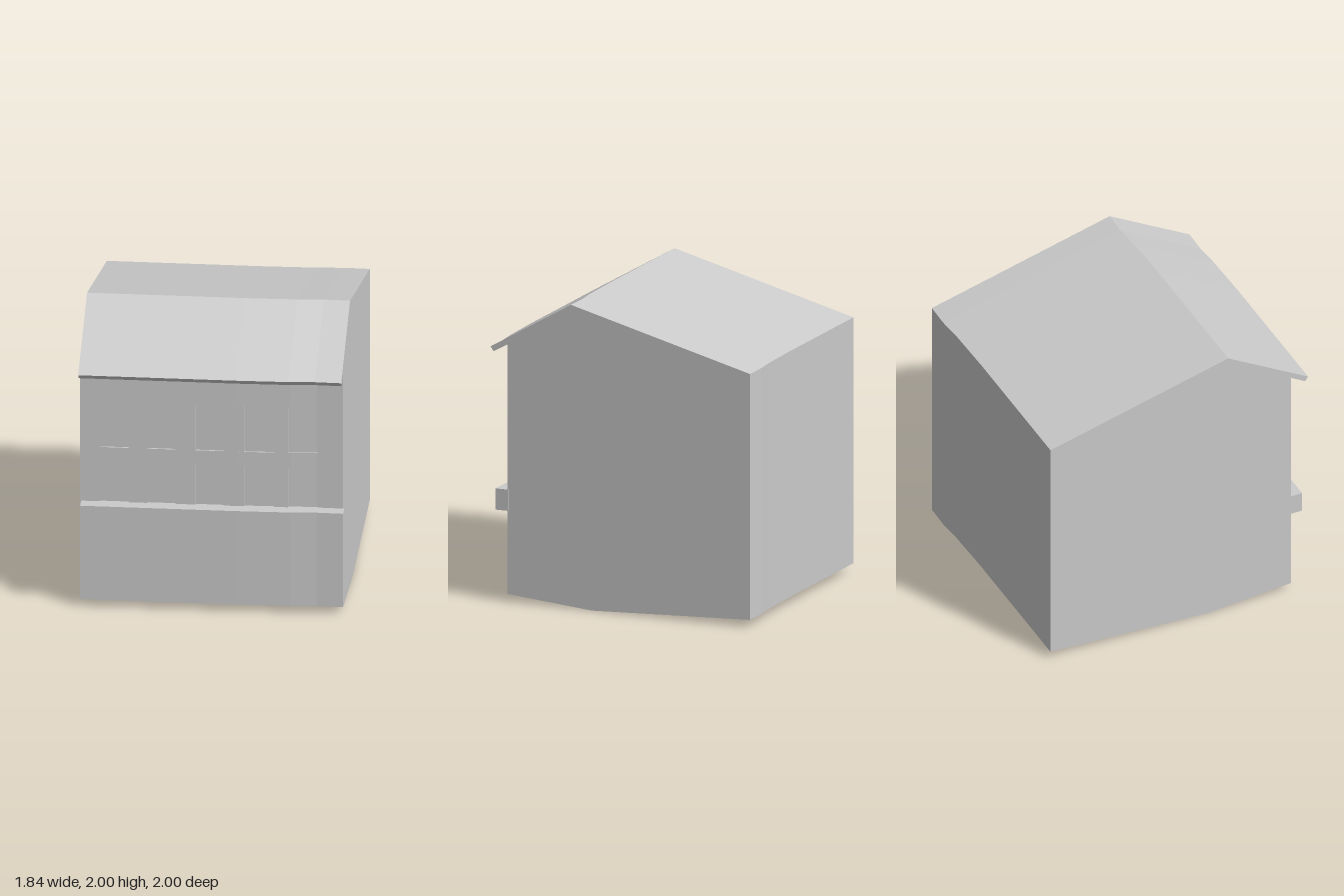
import * as THREE from 'three';

// gentle waviness of the long walls: [position along the wall, offset]
const WAVE = [[0, 0], [0.6, 0.01], [0.8, 0.006], [0.9, -0.005], [1, 0]];
function wave(s) {
  if (s <= 0 || s >= 1) return 0;
  const i = WAVE.findIndex(p => p[0] >= s);
  const [a, b] = [WAVE[i - 1], WAVE[i]];
  return a[1] + (b[1] - a[1]) * (s - a[0]) / (b[0] - a[0]);
}

// Extrudes a [depth, height] section along the wall from s0 to s1, then skews it to the plan.
// Depth runs 0 (back) to 1 (eave), s runs 0 (right end) to 1 (left end).
function prism(name, section, s0, s1) {
  const shape = new THREE.Shape(section.map(([t, y]) => new THREE.Vector2(-t, y)));
  const steps = Math.max(1, Math.round((s1 - s0) * 20));
  const geo = new THREE.ExtrudeGeometry(shape, { depth: s1 - s0, steps, bevelEnabled: false });
  const p = geo.attributes.position;
  for (let i = 0; i < p.count; i++) {
    const t = -p.getX(i), s = p.getZ(i) + s0;
    p.setXYZ(i, -0.92 + 1.68 * s + 0.15 * t, p.getY(i), -0.82 - 0.18 * s + wave(s) + 1.82 * t);
  }
  geo.computeVertexNormals();
  const mesh = new THREE.Mesh(geo, new THREE.MeshStandardMaterial({ color: 0xcccccc, flatShading: true }));
  mesh.name = name;
  return mesh;
}

const rect = (t0, t1, y0, y1) => [[t0, y0], [t1, y0], [t1, y1], [t0, y1]];

export function createModel() {
  const group = new THREE.Group();
  group.name = 'house';
  const GLASS = 0.928, WALL = 0.934;

  // body with ridged roof and overhanging eave
  group.add(prism('bodyAndRoof', [
    [0, 0.05], [0.61, 0], [GLASS, 0.05], [GLASS, 1.705],
    [0.988, 1.64], [1, 1.67], [0.69, 2], [0, 1.67],
  ], 0, 1));

  // front wall facing: full-width bands, leaving two rows for the windows
  for (const [y0, y1] of [[0.05, 0.74], [1.02, 1.12], [1.44, 1.7]]) {
    group.add(prism('frontWallBand', rect(GLASS, WALL, y0, y1), 0, 1));
  }

  // piers between the shallow recessed windows
  const windows = [[-0.65, -0.47], [-0.35, -0.17], [-0.04, 0.14], [0.27, 0.46], [0.55, 0.74]];
  const edges = [0, ...windows.flat().map(x => (x + 0.78) / 1.68), 1];
  for (const [y0, y1] of [[0.74, 1.02], [1.12, 1.44]]) {
    for (let i = 0; i < edges.length; i += 2) {
      group.add(prism('windowPier', rect(GLASS, WALL, y0, y1), edges[i], edges[i + 1]));
    }
  }

  // projecting ledge across the front
  group.add(prism('frontLedge', rect(WALL - 0.003, 0.979, 0.6, 0.74), 0.005, 1.005));
  return group;
}
